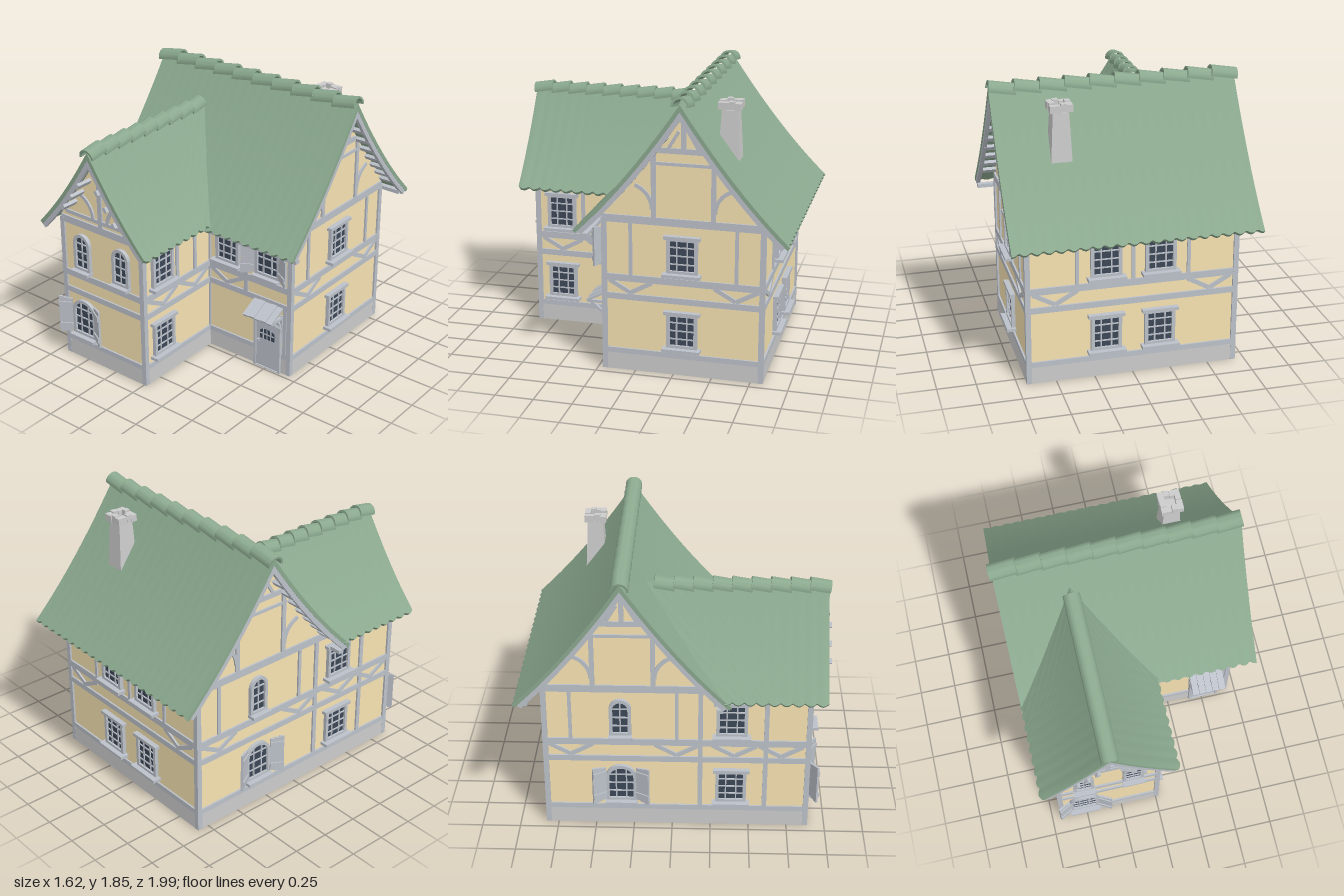
import * as THREE from 'three';
import { toCreasedNormals } from 'three/addons/utils/BufferGeometryUtils.js';

const mat = (color, side = THREE.FrontSide) => new THREE.MeshStandardMaterial({ color, side });
const stone = mat(0xcccccc), timber = mat(0xbcc1c9), glass = mat(0x3c4757);
const plaster = mat(0xf7e3b2, THREE.DoubleSide), tile = mat(0x8ba98f, THREE.DoubleSide);

function add(parent, name, geo, material, x = 0, y = 0, z = 0) {
  const m = new THREE.Mesh(geo, material);
  m.name = name;
  m.position.set(x, y, z);
  parent.add(m);
  return m;
}
const box = (p, name, w, h, d, x, y, z, m = timber) => add(p, name, new THREE.BoxGeometry(w, h, d), m, x, y, z);
const extrude = (shape, depth) => new THREE.ExtrudeGeometry(shape, { depth, bevelEnabled: false, curveSegments: 10 });
function group(parent, name, x = 0, y = 0, z = 0, ry = 0) {
  const g = new THREE.Group();
  g.name = name;
  g.position.set(x, y, z);
  g.rotation.y = ry;
  parent.add(g);
  return g;
}

// Roof pitch: slightly flared curve from ridge (t = 0) to eave (t = 1)
const pitch = (D, top, drop, ripple) => ({
  D, top, drop, ripple,
  at: t => [D * t, top - drop * (1.22 * t - 0.22 * t * t)],
  slope: t => drop * (1.22 - 0.44 * t) / D,
  under(t, o) { const [d, y] = this.at(t); return [d, y - o * Math.hypot(1, this.slope(t))]; },
  // same, but cut square to the slope at the eave
  inner(t, o) { return this.under(t * (1 - 0.7 * o / D), o); },
  tAtHeight(y) { return Math.min(1, (1.22 - Math.sqrt(1.4884 - 0.88 * Math.min(1, (top - y) / drop))) / 0.44); }
});
const mainPitch = pitch(0.67, 1.8, 0.825, 0.0015), wingPitch = pitch(0.45, 1.6, 0.6, 0.004);

// ---- roofs: ridge along local z, slopes towards +x and -x ----
function roofSlope(p, backAt, z1, s) {
  const M = 10, R = 2 * M + 2, N = Math.round((z1 - backAt(p.top)) / 0.0125), pos = [], idx = [];
  for (let i = 0; i <= N; i++) for (let j = 0; j < R; j++) {
    const t = j <= M ? j / M : (R - 1 - j) / M;
    const z0 = backAt(p.at(t)[1]), z = z0 + (z1 - z0) * i / N;
    const wave = Math.abs(Math.sin(Math.PI * z / 0.075)), lip = 0.016 * wave * t ** 12;
    const [d, y] = p.inner(t, j <= M ? 0 : 0.025);
    pos.push(s * (d + lip), y + p.ripple * wave - lip, z);
  }
  const quad = (a, b, c, d) => idx.push(...(s > 0 ? [a, d, c, a, c, b] : [a, c, d, a, b, c]));
  for (let i = 0; i < N; i++) for (let j = 0; j < R; j++) {
    const k = (j + 1) % R;
    quad(i * R + j, i * R + k, (i + 1) * R + k, (i + 1) * R + j);
  }
  for (let j = 0; j < M; j++) {
    const e = N * R;
    quad(e + j, e + j + 1, e + R - 2 - j, e + R - 1 - j);
    quad(R - 1 - j, R - 2 - j, j + 1, j);
  }
  const g = new THREE.BufferGeometry();
  g.setAttribute('position', new THREE.Float32BufferAttribute(pos, 3));
  g.setIndex(idx);
  return toCreasedNormals(g, 0.3);
}

function gableRoof(g, p, backAt, z1, ends, ridge, purlin) {
  for (const s of [1, -1]) add(g, 'roofTiles', roofSlope(p, backAt, z1, s), tile);
  // barge boards and purlin ends under each gable overhang
  const board = new THREE.Shape(), ts = Array.from({ length: 9 }, (_, i) => i / 8), rev = ts.slice().reverse();
  const edge = (list, o, s) => list.map(t => p.inner(t, o)).map(([d, y]) => new THREE.Vector2(s * d, y));
  board.setFromPoints([...edge(rev, 0.02, -1), ...edge(ts.slice(1), 0.02, 1),
    ...edge(rev, 0.055, 1), ...edge(ts.slice(1), 0.055, -1)]);
  for (const e of ends) {
    add(g, 'bargeBoard', extrude(board, 0.025), timber, 0, 0, e > 0 ? e - 0.027 : e + 0.002);
    for (const s of [1, -1]) for (const t of purlin.at) {
      const [d, y] = p.under(t, purlin.offset);
      box(g, 'purlinEnd', 0.035, 0.022, 0.12, s * d, y, e + Math.sign(e) * (purlin.out - 0.06)).rotation.z = -s * Math.atan(p.slope(t));
    }
  }
  // overlapping half-round ridge tiles
  const arch = new THREE.Shape();
  arch.absarc(0, 0, 0.056, -0.1, Math.PI + 0.1, false);
  arch.absarc(0, 0, 0.042, Math.PI + 0.1, -0.1, true);
  const step = (z1 - ridge.from) / ridge.count;
  for (let i = 0; i < ridge.count; i++) {
    const geo = extrude(arch, step * 1.1).translate(0, 0, -step * 0.55);
    add(g, 'ridgeTile', toCreasedNormals(geo, 0.6), tile, 0, p.top - 0.022, ridge.from + step * (i + 0.5)).rotation.x = ridge.tilt;
  }
}

// ---- walls: local x along the wall, local z outwards ----
function beam(g, a0, y0, a1, y1, w = 0.035, name = 'beam') {
  const m = box(g, name, Math.hypot(a1 - a0, y1 - y0), w, 0.012, (a0 + a1) / 2, (y0 + y1) / 2, 0.0065);
  m.rotation.z = Math.atan2(y1 - y0, a1 - a0);
}
const post = (g, a, y0, y1, w = 0.03) => beam(g, a, y0, a, y1, w, 'post');
function wall(g, a0, a1, h, top = []) {
  const pts = [[a0, 0], [a1, 0], ...(top.length ? top : [[a1, h], [a0, h]])];
  add(g, 'wall', new THREE.ShapeGeometry(new THREE.Shape(pts.map(q => new THREE.Vector2(...q)))), plaster);
}
function gableWall(g, c, half, p) {
  const ts = Array.from({ length: 7 }, (_, i) => half / p.D * (1 - i / 6)), side = ts.map(t => p.under(t, 0.028));
  wall(g, c - half, c + half, 0, [...side.map(([d, y]) => [c + d, y]), ...side.slice(0, -1).reverse().map(([d, y]) => [c - d, y])]);
}
function trim(g, a0, a1) {
  box(g, 'plinth', a1 - a0, 0.115, 0.011, (a0 + a1) / 2, 0.0575, 0.006, stone);
  for (const [y, w] of [[0.13, 0.035], [0.505, 0.04], [0.632, 0.045], [1.025, 0.05]]) beam(g, a0, y, a1, y, w);
}
function vBrace(g, c) {
  for (const s of [1, -1]) beam(g, c + s * 0.14, 0.612, c, 0.535, 0.028, 'brace');
}
function arcBrace(g, c, s, off, y, r) {
  const sh = new THREE.Shape();
  sh.absarc(0, 0, r + 0.012, 0, 1.25, false);
  sh.absarc(0, 0, r - 0.012, 1.25, 0, true);
  const m = add(g, 'curvedBrace', extrude(sh, 0.012), timber, c - s * off, y, s > 0 ? 0.0005 : 0.0125);
  m.rotation.y = s > 0 ? 0 : Math.PI;
}

// ---- windows and door ----
function outline(w, h, rise, y = 0) {
  const s = new THREE.Shape();
  s.moveTo(-w / 2, y).lineTo(w / 2, y).lineTo(w / 2, h - rise);
  if (rise) s.absellipse(0, h - rise, w / 2, rise, 0, Math.PI, false, 0);
  else s.lineTo(-w / 2, h);
  s.closePath();
  return s;
}
function windowUnit(parent, a, y, w, h, rise = 0, shutters = false) {
  const g = group(parent, rise ? 'archedWindow' : 'window', a, y, 0), f = 0.022;
  add(g, 'glass', extrude(outline(w - f, h - f / 2, Math.max(0, rise - f / 2)), 0.018), glass, 0, 0, -0.008);
  const frame = outline(w, h, rise);
  frame.holes.push(outline(w - 2 * f, h - f, Math.max(0, rise - f), f));
  add(g, 'frame', extrude(frame, 0.035), timber, 0, 0, -0.01);
  const cols = w > 0.16 ? [-1 / 6, 1 / 6] : [0];
  for (const c of cols) box(g, 'glazingBar', 0.009, h - f - rise * 0.25, 0.012, c * w, (h - rise * 0.25) / 2, 0.011);
  for (const r of [0.27, 0.5, 0.73]) box(g, 'glazingBar', w - f, 0.008, 0.012, 0, h * r, 0.011);
  box(g, 'sill', w + (rise ? 0.01 : 0.045), 0.02, 0.06, 0, -0.005, 0.03);
  if (!rise) box(g, 'lintel', w + 0.035, 0.022, 0.035, 0, h, 0.018);
  if (shutters) for (const s of [1, -1]) {
    const leaf = group(g, 'shutter', s * w / 2, 0, 0.022, -s * 0.5);
    for (const k of [0, 1, 2]) box(leaf, 'plank', 0.031, h - 0.012 * (2 - k), 0.014, s * (0.016 + 0.031 * k), h / 2, 0);
    for (const r of [0.2, 0.8]) box(leaf, 'batten', 0.092, 0.035, 0.01, s * 0.047, h * r, 0.01);
  }
}
function door(parent, a) {
  const g = group(parent, 'door', a);
  add(g, 'doorLeaf', extrude(outline(0.18, 0.4, 0.05), 0.02), timber, 0, 0, 0);
  const frame = outline(0.215, 0.425, 0.06);
  frame.holes.push(outline(0.18, 0.4, 0.05, 0.005));
  add(g, 'doorFrame', extrude(frame, 0.03), timber, 0, 0, 0);
  add(g, 'doorGlass', extrude(outline(0.115, 0.075, 0.02), 0.008), glass, 0, 0.222, 0.015);
  for (const x of [-0.03, 0, 0.03]) box(g, 'glazingBar', 0.008, 0.075, 0.01, x, 0.258, 0.021);
  box(g, 'glazingBar', 0.115, 0.008, 0.01, 0, 0.26, 0.021);
  box(g, 'doorKnob', 0.015, 0.02, 0.02, -0.07, 0.2, 0.025);
  // sloping canopy on brackets
  for (let i = 0; i < 5; i++) box(g, 'canopyPlank', 0.044, 0.014, 0.15, (i - 2) * 0.047, 0.462 + 0.004 * (i % 2), 0.07).rotation.x = 0.48;
  for (const s of [1, -1]) {
    box(g, 'bracketArm', 0.018, 0.018, 0.13, s * 0.105, 0.425, 0.065);
    box(g, 'bracketStrut', 0.018, 0.018, 0.155, s * 0.105, 0.38, 0.06).rotation.x = -0.7;
    box(g, 'bracketPost', 0.018, 0.13, 0.018, s * 0.105, 0.375, 0.01);
  }
}
function mainGableTimber(g, c) {
  for (const s of [1, -1]) {
    post(g, c + s * 0.19, 1.04, 1.47);
    post(g, c + s * 0.34, 0.65, 1.0, 0.022);
    vBrace(g, c + s * 0.34);
    arcBrace(g, c, s, 0.36, 1.1, 0.16);
    beam(g, c + s * 0.1, 1.49, c + s * 0.03, 1.61, 0.02, 'brace');
  }
  beam(g, c - 0.21, 1.4, c + 0.21, 1.4, 0.02);
  beam(g, c - 0.16, 1.485, c + 0.16, 1.485, 0.035);
  post(g, c, 1.49, 1.72);
}

export function createModel() {
  const house = new THREE.Group();
  house.name = 'house';

  // roofs; the wing roof runs back until it sinks into the main slope
  const mainRoof = group(house, 'mainRoof', 0, 0, -0.31, Math.PI / 2);
  gableRoof(mainRoof, mainPitch, () => -0.795, 0.795, [-0.795, 0.795], { from: -0.8, count: 10, tilt: -0.17 },
    { at: [0.16, 0.26, 0.36, 0.46, 0.56, 0.66, 0.76], offset: 0.045, out: -0.01 });
  gableRoof(group(house, 'wingRoof', -0.335), wingPitch,
    y => -0.35 + mainPitch.D * mainPitch.tAtHeight(y), 0.975, [0.975], { from: -0.12, count: 9, tilt: 0.17 },
    { at: [0.18, 0.33, 0.48], offset: 0.065, out: 0.02 });
  // wall plates under the main eaves
  for (const [x, z, l] of [[0, -0.92, 1.56], [0.41, 0.3, 0.76], [-0.74, 0.3, 0.1]])
    box(house, 'eavePlate', l, 0.025, 0.04, x, 0.93 + (z < 0 ? 0.03 : 0), z);

  // wing front
  const front = group(house, 'wingFront', 0, 0, 0.876), k = -0.335;
  gableWall(front, k, 0.343, wingPitch);
  trim(front, -0.678, 0.008);
  post(front, k, 1.04, 1.56, 0.035);
  beam(front, k - 0.3, 1.085, k + 0.3, 1.085, 0.025);
  for (const s of [1, -1]) {
    arcBrace(front, k, s, 0.23, 1.08, 0.17);
    windowUnit(front, k + s * 0.168, 0.685, 0.14, 0.265, 0.07);
  }
  windowUnit(front, -0.51, 0.185, 0.2, 0.27, 0.09, true);

  // main front with the door
  const entry = group(house, 'entranceWall', 0, 0, 0.206);
  wall(entry, 0.008, 0.678, 1.05);
  trim(entry, 0.008, 0.678);
  vBrace(entry, 0.165);
  post(entry, 0.32, 0.52, 1.0);
  post(entry, 0.64, 0.13, 0.5, 0.025);
  windowUnit(entry, 0.17, 0.69, 0.19, 0.24);
  windowUnit(entry, 0.5, 0.69, 0.2, 0.26, 0.09, true);
  door(entry, 0.51);

  // right gable wall, and the wing's right wall
  const right = group(house, 'rightWall', 0.678, 0, 0, Math.PI / 2);
  gableWall(right, 0.306, 0.512, mainPitch);
  trim(right, -0.206, 0.818);
  mainGableTimber(right, 0.31);
  for (const y of [0.185, 0.69]) windowUnit(right, 0.305, y, 0.2, 0.24);
  const wingRight = group(house, 'wingRightWall', 0.008, 0, 0, Math.PI / 2);
  wall(wingRight, -0.876, -0.206, 1.04);
  trim(wingRight, -0.876, -0.206);
  for (const c of [-0.7, -0.38]) vBrace(wingRight, c);
  for (const a of [-0.55, -0.37]) post(wingRight, a, 0.65, 1.0, 0.025);
  for (const y of [0.185, 0.69]) windowUnit(wingRight, -0.7, y, 0.2, 0.24);

  // left wall along main block and wing
  const left = group(house, 'leftWall', -0.678, 0, 0, -Math.PI / 2);
  gableWall(left, -0.306, 0.512, mainPitch);
  wall(left, 0.206, 0.876, 1.04);
  trim(left, -0.818, 0.876);
  mainGableTimber(left, -0.31);
  for (const c of [0.4, 0.7]) vBrace(left, c);
  for (const a of [0.18, 0.6]) post(left, a, 0.13, 1.0);
  for (const y of [0.185, 0.69]) windowUnit(left, 0.38, y, 0.2, 0.24);
  windowUnit(left, -0.33, 0.185, 0.2, 0.27, 0.09, true);
  windowUnit(left, -0.33, 0.685, 0.14, 0.265, 0.07);

  // back wall
  const back = group(house, 'backWall', 0, 0, -0.818, Math.PI);
  wall(back, -0.678, 0.678, 1.05);
  trim(back, -0.678, 0.678);
  for (const s of [1, -1]) {
    vBrace(back, s * 0.5);
    for (const a of [0.36, 0.0]) post(back, s * a, 0.65, 1.0, 0.022);
    for (const y of [0.185, 0.69]) windowUnit(back, s * 0.175, y, 0.2, 0.24);
  }

  // corner posts
  for (const [x, z] of [[0.674, 0.202], [0.674, -0.814], [-0.674, -0.814], [-0.674, 0.872], [0.004, 0.872], [0.004, 0.202]])
    box(house, 'cornerPost', 0.034, 1.03, 0.034, x, 0.515, z);

  // tapered chimney with a ring of cap stones
  const chimney = group(house, 'chimney', 0.4, 0, -0.545);
  const shaft = new THREE.CylinderGeometry(0.072, 0.105, 0.46, 4, 1).rotateY(Math.PI / 4).toNonIndexed();
  shaft.computeVertexNormals();
  add(chimney, 'chimneyShaft', shaft, stone, 0, 1.47, 0);
  for (let q = 0; q < 4; q++) {
    const side = group(chimney, 'capStones', 0, 1.725, 0, q * Math.PI / 2);
    box(side, 'capStone', 0.066, 0.045, 0.04, -0.038, 0.004 * (q % 2), 0.053, stone);
    box(side, 'capStone', 0.036, 0.05, 0.036, 0.016, 0.008, 0.052, stone);
  }
  return house;
}
